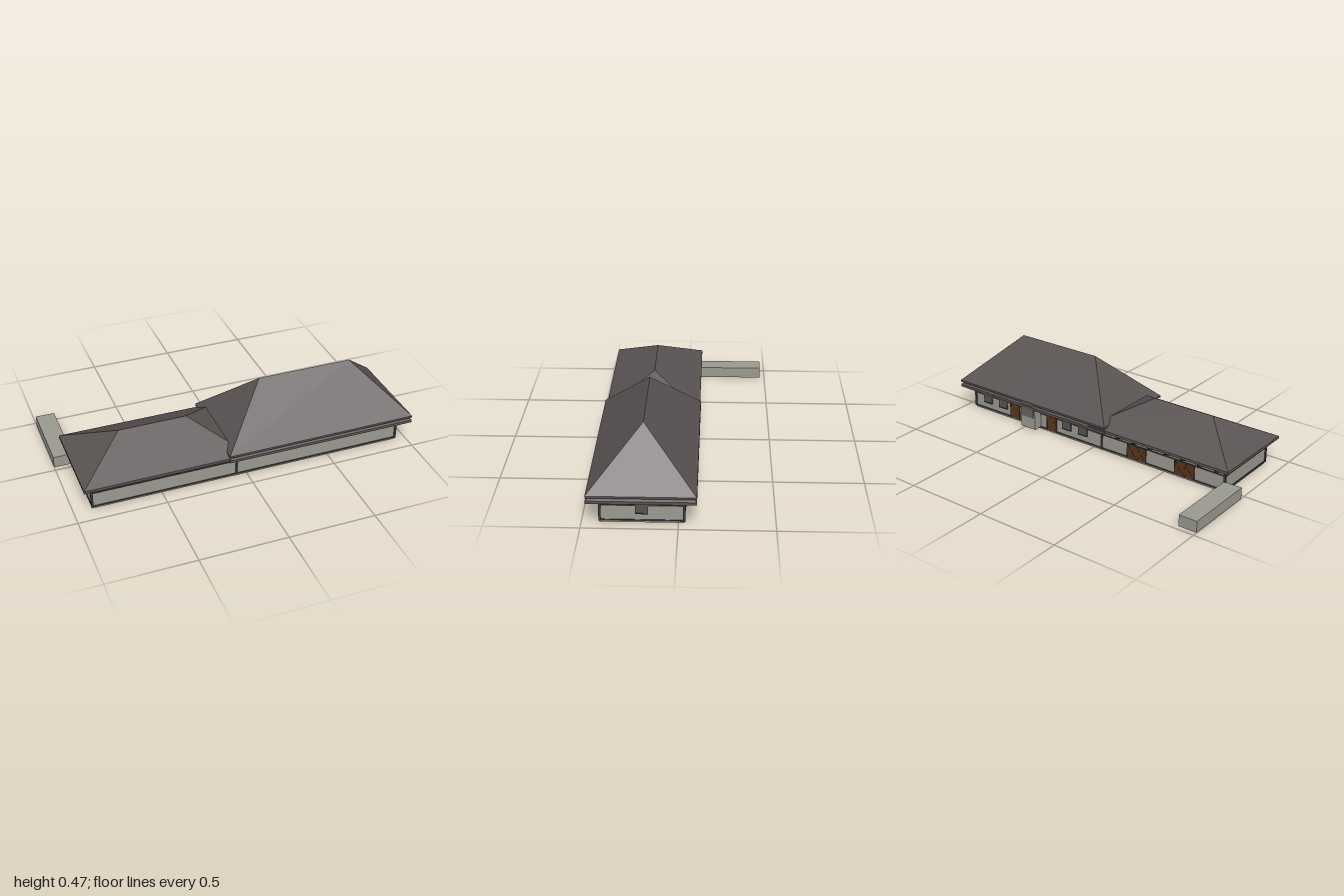
import * as THREE from 'three';

const mat = (name, color, side = THREE.FrontSide) => {
  const m = new THREE.MeshStandardMaterial({ color, side });
  m.name = name;
  return m;
};

export function createModel() {
  const model = new THREE.Group();
  const wall = mat('plaster grey', 0x9b9a90);
  const roof = mat('roof slate', 0x5a5453);
  const trim = mat('dark timber', 0x3d3a3a);
  const brown = mat('door brown', 0x5e3516);
  const shutterGrey = mat('bay shutter grey', 0x66645f);

  const add = (name, geometry, material, parent = model) => {
    const m = new THREE.Mesh(geometry, material);
    m.name = name;
    parent.add(m);
    return m;
  };

  // Box given by its minimum and maximum on each axis
  const box = (name, material, x0, x1, y0, y1, z0, z1, parent) => {
    const g = new THREE.BoxGeometry(x1 - x0, y1 - y0, z1 - z0);
    g.translate((x0 + x1) / 2, (y0 + y1) / 2, (z0 + z1) / 2);
    return add(name, g, material, parent);
  };

  // Solid between two level rectangles [x0, x1, z0, z1]; a ridge is a rectangle of no depth
  const loft = (name, material, low, yLow, high, yHigh) => {
    const ring = ([x0, x1, z0, z1], y) =>
      [[x0, y, z1], [x1, y, z1], [x1, y, z0], [x0, y, z0]].map((p) => new THREE.Vector3(...p));
    const a = ring(low, yLow), b = ring(high, yHigh);
    const pts = [];
    const tri = (p, q, r) => {
      if (new THREE.Triangle(p, q, r).getArea() > 1e-7) pts.push(p, q, r);
    };
    const quad = (p, q, r, s) => { tri(p, q, r); tri(p, r, s); };
    for (let i = 0; i < 4; i++) {
      const j = (i + 1) % 4;
      quad(a[i], a[j], b[j], b[i]);
    }
    quad(b[0], b[1], b[2], b[3]);
    quad(a[3], a[2], a[1], a[0]);
    const g = new THREE.BufferGeometry().setFromPoints(pts);
    g.computeVertexNormals();
    return add(name, g, material);
  };

  const zBack = -0.03, zFront = 0.405, xLeft = 0.935, xSeam = -0.06, xRight = -0.895;

  // Walls of both wings
  box('mainWingWalls', wall, xSeam, xLeft, 0, 0.165, zBack, zFront);
  box('lowWingWalls', wall, xRight, xSeam, 0, 0.155, zBack, zFront);

  // Timber bands around the walls
  const t = 0.004;
  for (const [y0, y1] of [[0.009, 0.017], [0.098, 0.105]]) {
    box('frontBand', trim, xRight - t, xLeft + t, y0, y1, zFront, zFront + t);
    box('backBand', trim, xRight - t, xLeft + t, y0, y1, zBack - t, zBack);
    box('leftBand', trim, xLeft, xLeft + t, y0, y1, zBack, zFront);
    box('rightBand', trim, xRight - t, xRight, y0, y1, zBack, zFront);
  }

  // Posts at the corners and where the wings meet
  for (const x of [xRight, xSeam, xLeft]) {
    for (const z of [zBack, zFront]) {
      box('post', trim, x - 0.006, x + 0.006, 0.009, 0.15, z - 0.006, z + 0.006);
    }
  }

  // Double-eaved roof of the main wing
  const big = [-0.125, 1, -0.095, 0.47];
  const inset = [-0.1, 0.975, -0.07, 0.445];
  loft('mainLowerEave', roof, big, 0.143, big, 0.159);
  loft('mainEaveSkirt', roof, big, 0.159, inset, 0.175);
  loft('mainUpperEave', roof, big, 0.175, big, 0.187);
  loft('mainHipRoof', roof, big, 0.187, [0.157, 0.715, 0.1875, 0.1875], 0.467);

  // Roof of the low wing, running into the main roof
  const small = [-0.945, -0.005, -0.09, 0.46];
  loft('lowEave', roof, small, 0.15, small, 0.166);
  loft('lowHipRoof', roof, small, 0.166, [-0.67, -0.28, 0.186, 0.186], 0.315);

  // Triangular brackets under the front and back eaves
  const profile = new THREE.Shape([
    new THREE.Vector2(0, 0.113), new THREE.Vector2(0.052, 0.137),
    new THREE.Vector2(0.052, 0.152), new THREE.Vector2(0, 0.152),
  ]);
  const bracketGeo = new THREE.ExtrudeGeometry(profile, { depth: 0.007, bevelEnabled: false });
  bracketGeo.translate(0, 0, -0.0035);
  const bracketXs = [];
  for (let i = 0; i < 8; i++) bracketXs.push(-0.858 + i * 0.1095);
  for (let i = 0; i < 9; i++) bracketXs.push(-0.03 + i * 0.1096);
  for (const x of bracketXs) {
    const front = add('frontBracket', bracketGeo, trim);
    front.position.set(x, 0, zFront);
    front.rotation.y = -Math.PI / 2;
    if (x > 0.4 && x < 0.52) continue; // the bay stands here at the back
    const back = add('backBracket', bracketGeo, trim);
    back.position.set(x, 0, zBack);
    back.rotation.y = Math.PI / 2;
  }

  // Shuttered windows on the back wall and the left end
  for (const x of [0.83, 0.705, 0.2, 0.08]) {
    box('backWindow', roof, x - 0.033, x + 0.033, 0.056, 0.142, zBack - 0.007, zBack);
    box('backWindowSill', trim, x - 0.033, x + 0.033, 0.053, 0.058, zBack - 0.009, zBack);
  }
  box('endWindow', roof, xLeft, xLeft + 0.007, 0.056, 0.142, 0.155, 0.221);
  box('endWindowSill', trim, xLeft, xLeft + 0.009, 0.053, 0.058, 0.155, 0.221);

  // Doors with a timber frame; wide ones carry a cross brace on each leaf
  const door = (x, w, y1, leaves) => {
    const g = new THREE.Group();
    g.name = 'door';
    model.add(g);
    const y0 = 0.014, z = zBack, f = 0.004;
    box('doorPanel', brown, x - w / 2, x + w / 2, y0, y1, z - 0.006, z, g);
    for (const s of [-1, 1]) {
      const e = x + s * w / 2;
      box('doorJamb', trim, e - f / 2, e + f / 2, y0, y1, z - 0.008, z, g);
    }
    box('doorLintel', trim, x - w / 2, x + w / 2, y1 - f / 2, y1 + f / 2, z - 0.008, z, g);
    if (leaves < 2) {
      box('doorKnob', trim, x - 0.022, x - 0.017, 0.07, 0.078, z - 0.01, z, g);
      return;
    }
    const lw = w / leaves, h = y1 - y0;
    box('doorMeeting', trim, x - 0.0015, x + 0.0015, y0, y1, z - 0.007, z, g);
    for (let i = 0; i < leaves; i++) {
      for (const s of [-1, 1]) {
        const brace = add('doorBrace', new THREE.BoxGeometry(Math.hypot(lw, h) * 0.97, 0.003, 0.002), trim, g);
        brace.position.set(x - w / 2 + lw * (i + 0.5), y0 + h / 2, z - 0.0065);
        brace.rotation.z = s * Math.atan2(h, lw);
      }
    }
  };
  for (const x of [0.607, 0.316]) door(x, 0.07, 0.105, 1);
  for (const x of [-0.31, -0.635]) door(x, 0.127, 0.1, 2);

  // Bay on the back wall with its shutter
  box('bay', wall, 0.405, 0.515, 0.012, 0.172, -0.085, zBack);
  box('bayShutter', shutterGrey, 0.415, 0.505, 0.085, 0.178, -0.089, -0.085);

  // Low garden wall behind the right end
  box('gardenWall', wall, -1, -0.89, 0, 0.067, -0.47, -0.03);

  return model;
}
